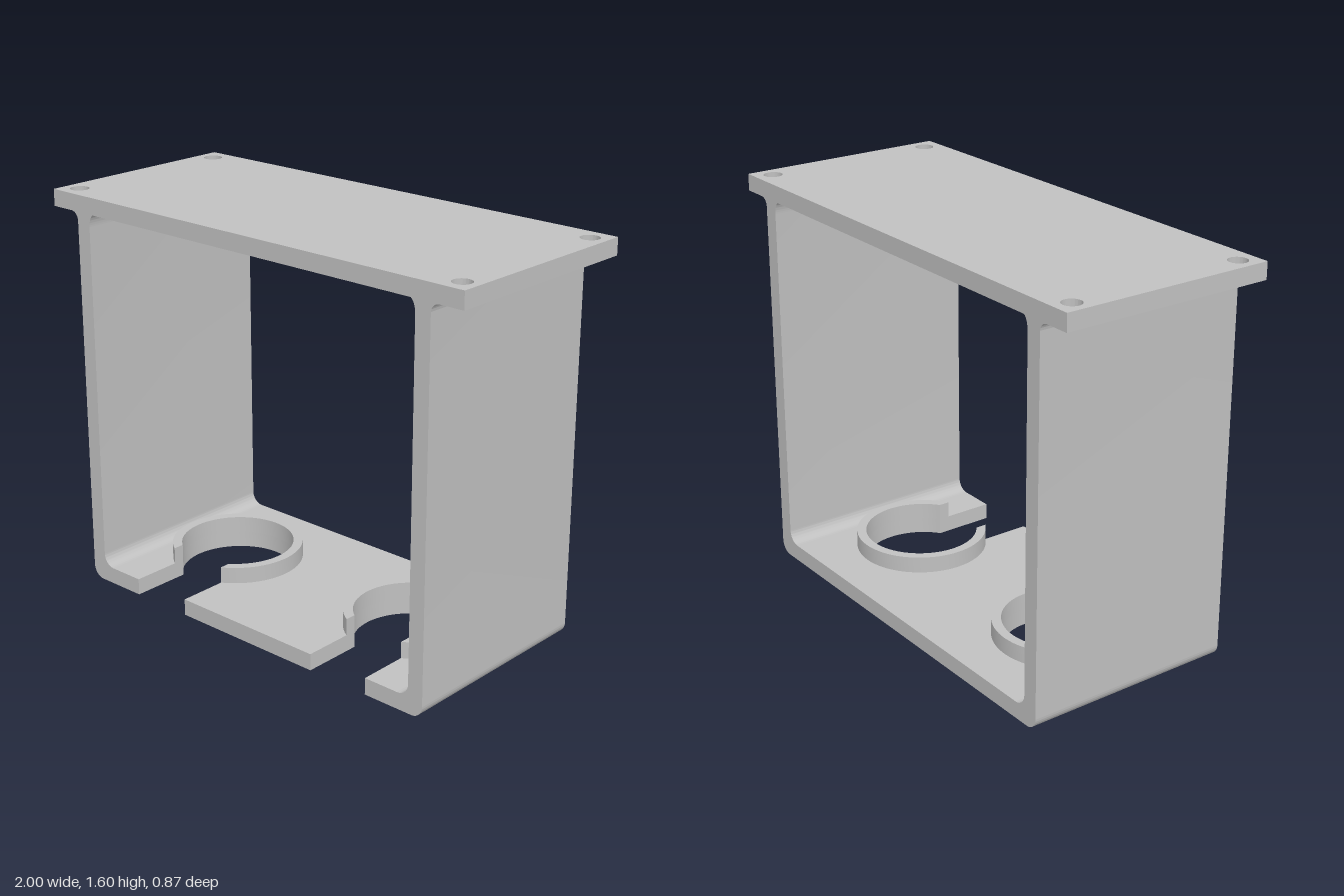
import * as THREE from 'three';
import { toCreasedNormals } from 'three/addons/utils/BufferGeometryUtils.js';

const DEPTH = 0.866, HALF = DEPTH / 2; // front-to-back size
const T = 0.067; // sheet thickness
const TOP = 1.6, UNDER = TOP - T;
const RING_X = 0.467, R_OUT = 0.267, R_IN = 0.229, SLOT = 0.133;

export function createModel() {
  const group = new THREE.Group();
  const grey = new THREE.MeshStandardMaterial({ color: 0xc0c0c0 });
  grey.name = 'grey plastic';

  const extrude = (shape, depth) =>
    new THREE.ExtrudeGeometry(shape, { depth, bevelEnabled: false, curveSegments: 32 });
  const add = (name, geometry) => {
    const mesh = new THREE.Mesh(toCreasedNormals(geometry, 0.5), grey);
    mesh.name = name;
    group.add(mesh);
  };
  // Horizontal plate: shape y becomes -z, thickness runs up from y
  const addPlate = (name, shape, y, depth) =>
    add(name, extrude(shape, depth).rotateX(-Math.PI / 2).translate(0, y, 0));

  // Top mounting plate with a screw hole in each corner
  const top = new THREE.Shape();
  top.moveTo(-1, -HALF).lineTo(1, -HALF).lineTo(1, HALF).lineTo(-1, HALF).closePath();
  for (const sx of [-1, 1]) for (const sz of [-1, 1]) {
    top.holes.push(new THREE.Path().absarc(sx * 0.933, sz * 0.36, 0.037, 0, Math.PI * 2, true));
  }
  addPlate('mountingPlate', top, UNDER, T);

  // Side walls with rounded bottom corners and filleted joints
  const wall = new THREE.Shape();
  wall.moveTo(0.75, 0).lineTo(0.815, 0);
  wall.absarc(0.815, 0.05, 0.05, -Math.PI / 2, 0, false);
  wall.absarc(0.9, UNDER - 0.035, 0.035, Math.PI, Math.PI / 2, true);
  wall.lineTo(0.78, UNDER);
  wall.quadraticCurveTo(0.798, UNDER - 0.012, 0.8, UNDER - 0.05);
  wall.absarc(0.75, T + 0.05, 0.05, 0, -Math.PI / 2, true);
  wall.closePath();
  const wallGeometry = extrude(wall, DEPTH).translate(0, 0, -HALF);
  add('leftWall', wallGeometry);
  add('rightWall', wallGeometry.clone().rotateY(Math.PI));

  // Angle at which an arc of radius r meets the slot's right edge
  const slotAngle = (r) => -Math.acos(SLOT / r);

  // Floor with two round cut-outs, each open to the front through a slot
  const floor = new THREE.Shape();
  floor.moveTo(-0.75, -HALF);
  const a = slotAngle(R_IN);
  for (const cx of [-RING_X, RING_X]) {
    floor.lineTo(cx - SLOT, -HALF);
    floor.absarc(cx, 0, R_IN, Math.PI - a, a, true);
    floor.lineTo(cx + SLOT, -HALF);
  }
  floor.lineTo(0.75, -HALF).lineTo(0.75, HALF).lineTo(-0.75, HALF).closePath();
  addPlate('floor', floor, 0, T);

  // Raised open rims around the cut-outs
  const b = slotAngle(R_OUT);
  for (const [name, cx] of [['rightHolderRing', -RING_X], ['leftHolderRing', RING_X]]) {
    const ring = new THREE.Shape();
    ring.absarc(cx, 0, R_OUT, b, Math.PI - b, false);
    ring.absarc(cx, 0, R_IN, Math.PI - a, a, true);
    ring.closePath();
    addPlate(name, ring, T, 0.067);
  }
  return group;
}
